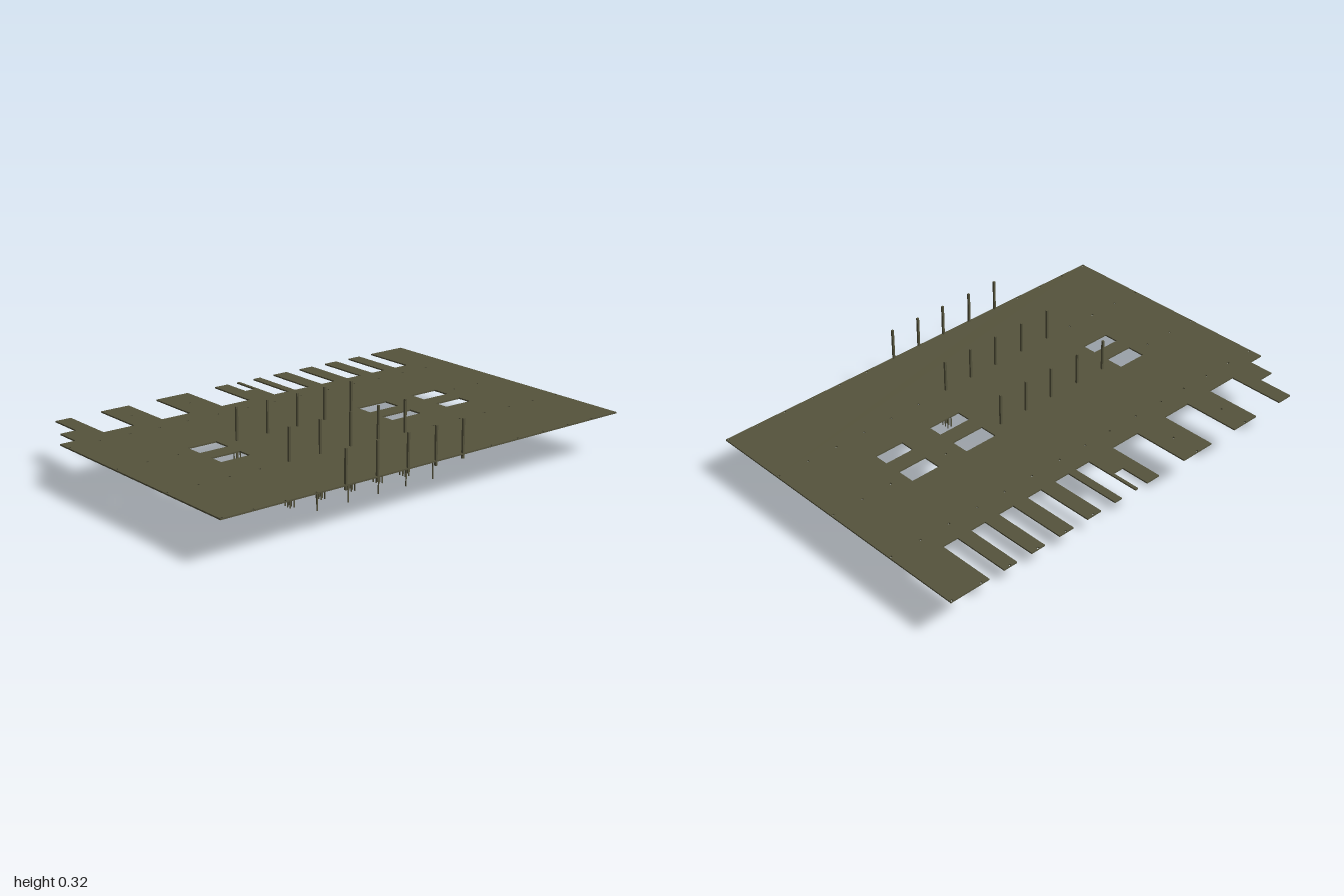
import * as THREE from 'three';

const SLAB_BOTTOM = 0.174, SLAB_TOP = 0.18;
const columnX = [-0.44, -0.29, -0.14, 0, 0.139];

export function createModel() {
  const group = new THREE.Group();
  const material = new THREE.MeshStandardMaterial({ color: 0x55533c });

  // Box given by centre x/z, bottom and top y, and widths
  const box = (parent, name, x, z, y0, y1, w, d) => {
    const mesh = new THREE.Mesh(new THREE.BoxGeometry(w, y1 - y0, d), material);
    mesh.name = name;
    mesh.position.set(x, (y0 + y1) / 2, z);
    parent.add(mesh);
  };

  // Slab outline, drawn in x and -z: front edge, then teeth along the back
  const back = 0.67, root = 0.42;
  const outline = [[-1, -0.67], [1, -0.67], [1, back]];
  const notches = [
    [0.818, 0.746], [0.682, 0.61], [0.543, 0.468], [0.396, 0.323], [0.251, 0.176], [0.139, 0.064],
  ];
  for (const [a, b] of notches) outline.push([a, back], [a, root], [b, root], [b, back]);
  outline.push([0.05, back], [0.05, 0.54], [0, 0.54], [0, back]);
  for (const [a, b] of [[-0.067, -0.21], [-0.37, -0.508], [-0.642, -0.786]]) {
    outline.push([a, back], [a, root], [b, root], [b, back]);
  }
  // Stepped corner
  outline.push([-0.857, back], [-0.857, 0.51], [-0.93, 0.51], [-0.93, 0.395], [-1, 0.395]);
  const shape = new THREE.Shape(outline.map(([x, y]) => new THREE.Vector2(x, y)));

  const cut = (x0, x1, z0, z1) => shape.holes.push(new THREE.Path(
    [[x0, -z0], [x1, -z0], [x1, -z1], [x0, -z1]].map(([x, y]) => new THREE.Vector2(x, y))));

  // Stair and shaft openings
  for (const [x0, x1] of [[-0.642, -0.508], [0.21, 0.364], [0.508, 0.642]]) {
    cut(x0, x1, -0.045, 0.037);
    cut(x0, x1, 0.11, 0.176);
  }

  // Small square column holes
  const west = [-0.992, -0.857, -0.717, -0.578];
  const east = [0.289, 0.433, 0.574, 0.714, 0.853, 0.992];
  const rows = [
    [-0.664, [-0.578, -0.29, ...east]],
    [-0.54, [-0.578, -0.29]],
    [-0.335, [...west, ...columnX, ...east]],
    [0, [-0.992, -0.857, -0.717, 0.433, 0.714, 0.853, 0.992]],
    [0.332, [...west, ...east]],
    [0.664, [...west, ...east]],
  ];
  const h = 0.0045;
  for (const [z, xs] of rows) for (const x of xs) cut(x - h, x + h, z - h, z + h);

  const slabGeometry = new THREE.ExtrudeGeometry(shape, { depth: SLAB_TOP - SLAB_BOTTOM, bevelEnabled: false });
  slabGeometry.rotateX(-Math.PI / 2);
  slabGeometry.translate(0, SLAB_BOTTOM, 0);
  const slab = new THREE.Mesh(slabGeometry, material);
  slab.name = 'floorSlab';
  group.add(slab);

  // Column with pile cap and two files of piles
  const foundation = (x, z, capDepth, pileZ) => {
    const unit = new THREE.Group();
    unit.name = 'columnOnPiles';
    unit.position.set(x, 0, z);
    box(unit, 'column', 0, 0, 0.147, 0.318, 0.009, 0.009);
    box(unit, 'pileCap', 0, 0, 0.135, 0.147, 0.026, capDepth);
    for (const px of [-0.009, 0.009]) {
      for (const pz of pileZ) box(unit, 'pile', px, pz, 0, 0.135, 0.004, 0.004);
    }
    group.add(unit);
  };

  for (const x of columnX) {
    foundation(x, 0, 0.027, [-0.009, 0.009]);
    foundation(x, 0.332, 0.039, [-0.016, 0, 0.016]);
    // Short pier on a single pile
    box(group, 'pier', x, 0.498, 0.135, SLAB_BOTTOM, 0.011, 0.011);
    box(group, 'singlePile', x, 0.498, 0.03, 0.135, 0.004, 0.004);
    // Front edge column
    box(group, 'frontColumn', x, 0.665, 0.158, 0.318, 0.009, 0.009);
  }
  return group;
}
